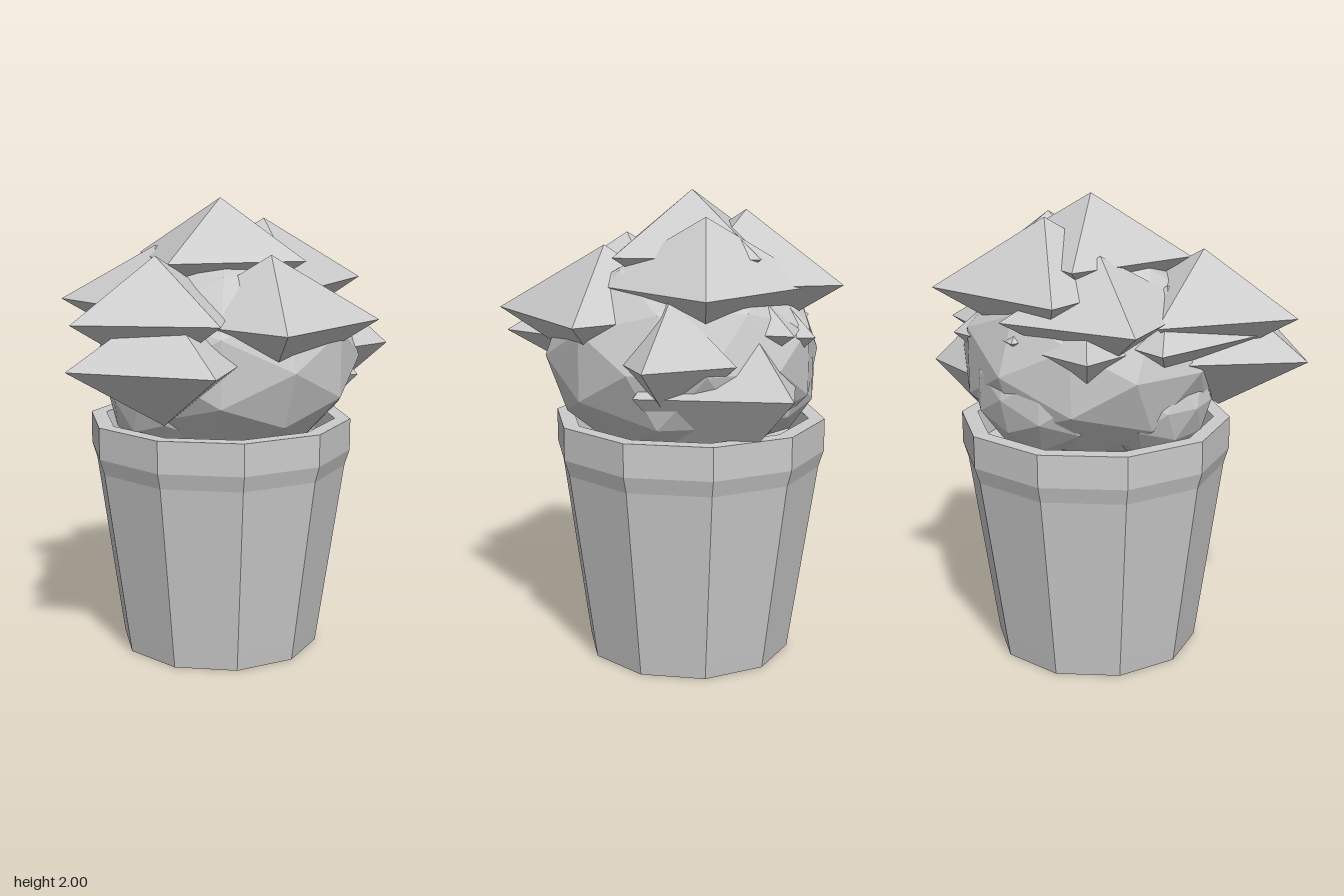
import * as THREE from 'three';

const grey = new THREE.MeshStandardMaterial({ color: 0xcccccc, flatShading: true });
grey.name = 'light grey';

function addMesh(parent, name, geometry, x, y, z) {
  const mesh = new THREE.Mesh(geometry, grey);
  mesh.name = name;
  mesh.position.set(x, y, z);
  parent.add(mesh);
  return mesh;
}

// Pointed eight-faced leaf clump, turned so that one point lies at (tipX, tipZ)
function addLeaf(parent, [x, y, z, tipX, tipZ, halfHeight]) {
  const dx = tipX - x, dz = tipZ - z;
  const reach = Math.hypot(dx, dz);
  const leaf = addMesh(parent, 'leafClump', new THREE.OctahedronGeometry(1), x, y, z);
  leaf.scale.set(reach, halfHeight, reach);
  leaf.rotation.y = Math.atan2(-dz, dx);
}

// Rounded faceted foliage mass
function addMass(parent, name, [x, y, z], [rx, ry, rz]) {
  addMesh(parent, name, new THREE.IcosahedronGeometry(1, 1), x, y, z).scale.set(rx, ry, rz);
}

export function createModel() {
  const model = new THREE.Group();
  model.name = 'pottedPlant';

  // Ten-sided pot: floor, tapered wall, flared rim, inner wall and soil level
  const profile = [
    [0, 0], [0.443, 0], [0.455, 0.08], [0.562, 0.83], [0.584, 0.9],
    [0.584, 1.04], [0.515, 1.04], [0.5, 0.92], [0, 0.92],
  ].map(([r, y]) => new THREE.Vector2(r, y));
  addMesh(model, 'pot', new THREE.LatheGeometry(profile, 10, Math.PI / 10), 0.085, 0, -0.12);

  // Faceted foliage masses behind the leaf clumps
  const foliage = new THREE.Group();
  foliage.name = 'foliage';
  model.add(foliage);
  addMass(foliage, 'foliageCore', [0.11, 1.32, -0.09], [0.575, 0.46, 0.585]);
  addMass(foliage, 'rightMass', [-0.19, 1.16, -0.08], [0.25, 0.25, 0.28]);
  addMass(foliage, 'backMass', [0.12, 1.22, -0.4], [0.33, 0.28, 0.26]);

  // Leaf clumps: centre x, y, z, one tip x, z, and half height
  const leaves = [
    [0.0925, 1.745, -0.1275, -0.27, 0.09, 0.255],  // crown
    [0.1325, 1.505, 0.2475, -0.04, 0.675, 0.275],  // front
    [-0.33, 1.535, 0.095, -0.745, 0.18, 0.25],     // upper right
    [-0.343, 1.355, 0.2, -0.78, 0.21, 0.26],       // lower right
    [0.32, 1.63, -0.145, 0.78, -0.065, 0.275],     // upper left
    [0.155, 1.64, -0.345, 0.475, -0.68, 0.28],     // back
    [-0.127, 1.55, -0.322, -0.49, -0.54, 0.24],    // back right
    [-0.275, 1.45, -0.075, -0.5, -0.39, 0.2],      // middle right
    [0.535, 1.36, 0.03, 0.77, 0.18, 0.25],         // small left
    [0.385, 1.23, -0.19, 0.768, -0.415, 0.45],     // low back left
    [0.24, 1.46, -0.275, 0.61, -0.45, 0.25],       // inner back
    [0.06, 1.43, -0.2, -0.31, -0.615, 0.47],       // low back right
  ];
  leaves.forEach((leaf) => addLeaf(foliage, leaf));

  return model;
}
